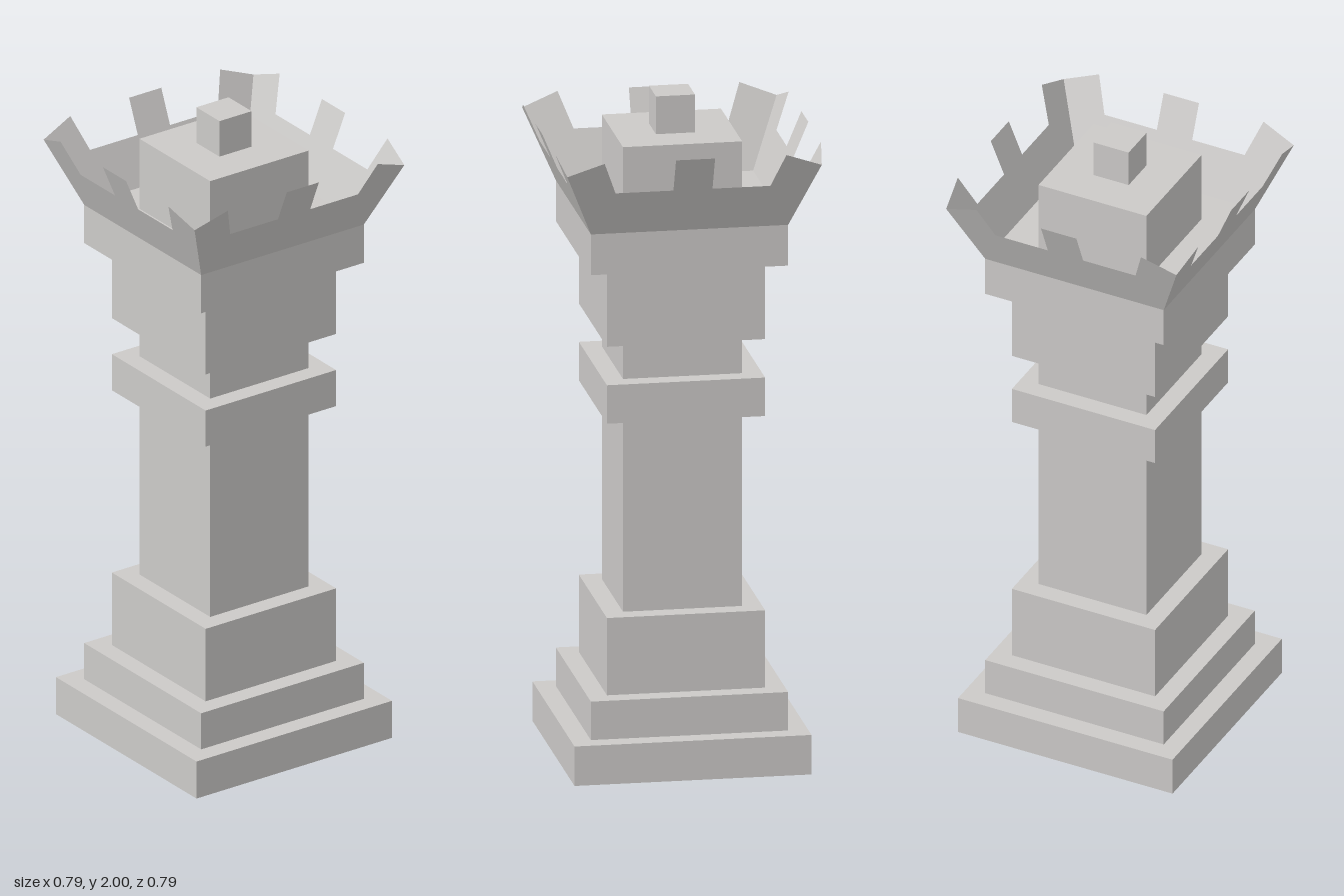
import * as THREE from 'three';

export function createModel() {
  const model = new THREE.Group();
  const stone = new THREE.MeshStandardMaterial({ color: 0xcccac8 });
  stone.name = 'pale stone';
  stone.flatShading = true;
  stone.side = THREE.DoubleSide;

  // Square tiers: name, half width, bottom, top
  const tiers = [
    ['basePlinth', 0.352, 0, 0.12],
    ['baseStep', 0.293, 0.12, 0.237],
    ['baseBlock', 0.235, 0.237, 0.472],
    ['shaft', 0.177, 0.472, 1.063],
    ['shaftRing', 0.235, 1.063, 1.18],
    ['neck', 0.177, 1.18, 1.297],
    ['headBlock', 0.235, 1.297, 1.534],
    ['crownCollar', 0.293, 1.534, 1.658],
    ['crownCap', 0.177, 1.658, 1.885],
    ['finial', 0.058, 1.885, 2],
  ];
  for (const [name, half, bottom, top] of tiers) {
    const tier = new THREE.Mesh(new THREE.BoxGeometry(half * 2, top - bottom, half * 2), stone);
    tier.name = name;
    tier.position.y = (bottom + top) / 2;
    model.add(tier);
  }

  // Flared crown wall: half an outline in x, y, then z leans outward with height
  const half = [
    [0.293, 1.658], [0.378, 1.86], [0.27, 1.9], [0.23, 1.796],
    [0.058, 1.796], [0.058, 1.9],
  ];
  const outline = [...half, ...half.map(([x, y]) => [-x, y]).reverse()];
  const wall = new THREE.ShapeGeometry(
    new THREE.Shape(outline.map(([x, y]) => new THREE.Vector2(x, y))));
  const pos = wall.attributes.position;
  for (let i = 0; i < pos.count; i++) {
    pos.setZ(i, 0.293 + (pos.getY(i) - 1.658) * 0.42);
  }
  wall.computeVertexNormals();

  // The same wall on all four sides, meeting along the corner teeth
  const crown = new THREE.Group();
  crown.name = 'crown';
  ['front', 'left', 'back', 'right'].forEach((side, i) => {
    const mesh = new THREE.Mesh(wall, stone);
    mesh.name = side + 'CrownWall';
    mesh.rotation.y = i * Math.PI / 2;
    crown.add(mesh);
  });
  model.add(crown);
  return model;
}
